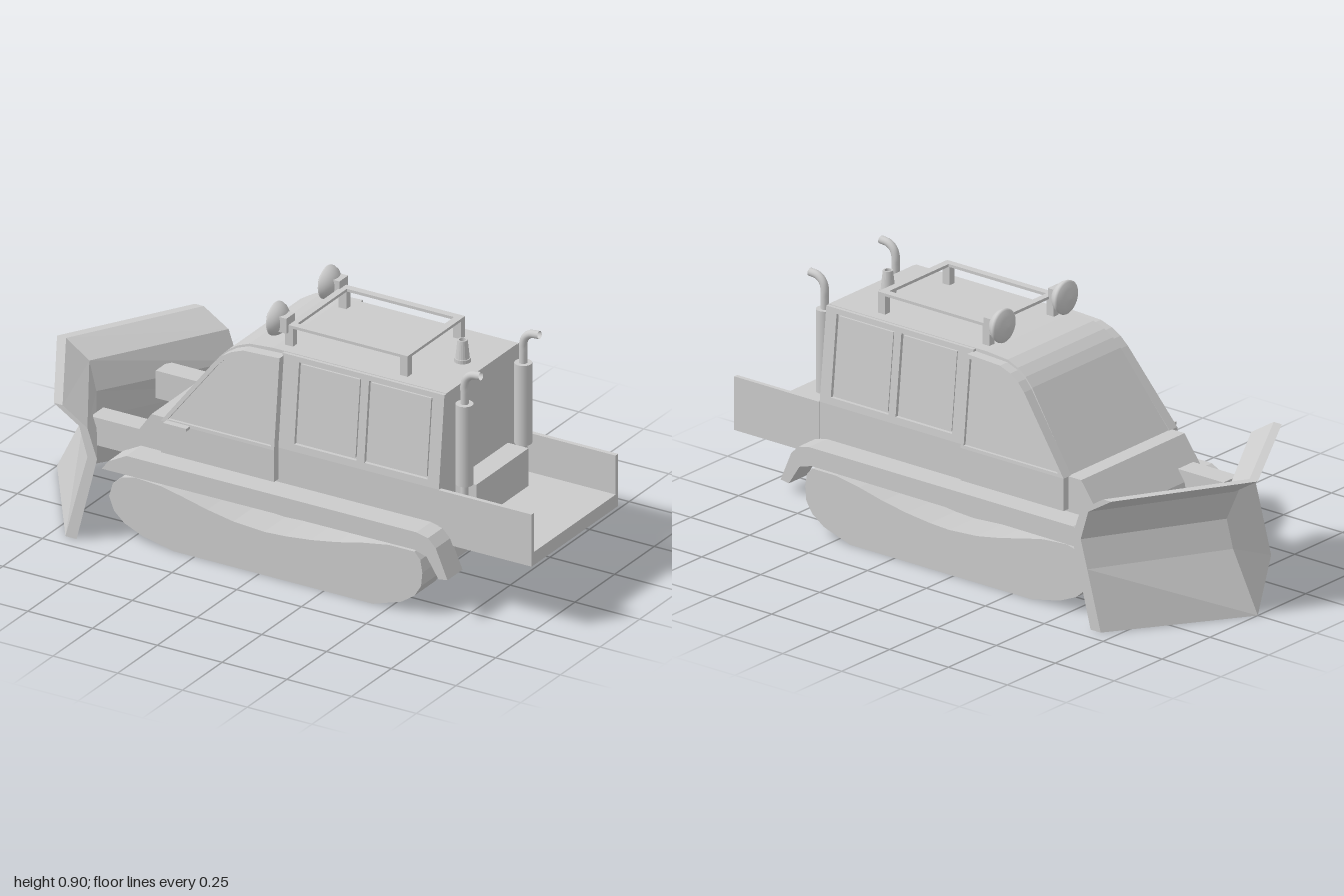
import * as THREE from 'three';

const mat = new THREE.MeshStandardMaterial({ color: 0xcccccc, flatShading: true });
const smooth = new THREE.MeshStandardMaterial({ color: 0xcccccc, side: THREE.DoubleSide });

// Half width of the cab at height y
const sideZ = (y) => 0.27 - Math.max(0, y - 0.43) * 0.106;

const toShape = (pts) => new THREE.Shape(pts.map(([x, y]) => new THREE.Vector2(x, y)));

export function createModel() {
  const root = new THREE.Group();

  const add = (name, geo, x = 0, y = 0, z = 0, m = mat) => {
    const mesh = new THREE.Mesh(geo, m);
    mesh.name = name;
    mesh.position.set(x, y, z);
    root.add(mesh);
    return mesh;
  };

  // Box given by its limits
  const box = (name, x0, x1, y0, y1, z0, z1) =>
    add(name, new THREE.BoxGeometry(x1 - x0, y1 - y0, Math.abs(z1 - z0)),
      (x0 + x1) / 2, (y0 + y1) / 2, (z0 + z1) / 2);

  // Side profile extruded from z0 to z1
  const slab = (name, pts, z0, z1) =>
    add(name, new THREE.ExtrudeGeometry(toShape(pts), { depth: z1 - z0, bevelEnabled: false }), 0, 0, z0);

  // Panel that follows the sloping cab side; s picks the side
  const panel = (name, s, pts, holes, off, depth) => {
    const shape = toShape(pts);
    for (const h of holes) shape.holes.push(toShape(h));
    const geo = new THREE.ExtrudeGeometry(shape, { depth, bevelEnabled: false });
    const p = geo.attributes.position;
    for (let i = 0; i < p.count; i++) {
      const base = sideZ(p.getY(i)) + off;
      p.setZ(i, s > 0 ? base + p.getZ(i) : p.getZ(i) - depth - base);
    }
    geo.computeVertexNormals();
    return add(name, geo);
  };

  const rect = (x0, x1, y0, y1) => [[x0, y0], [x1, y0], [x1, y1], [x0, y1]];

  // Hull and belly
  slab('hull', [[-0.57, 0.24], [0.64, 0.24], [0.64, 0.43], [-0.47, 0.43], [-0.555, 0.31]], -0.27, 0.27);
  box('belly', -0.485, 0.62, 0.116, 0.24, -0.225, 0.225);

  // Cab core, narrowing towards the roof
  const cabPts = [[-0.417, 0.425], [0.64, 0.425], [0.64, 0.762], [-0.03, 0.762], [-0.12, 0.755],
    [-0.165, 0.738], [-0.2, 0.715], [-0.23, 0.685]];
  const cab = slab('cab', cabPts, -1, 1);
  cab.position.z = 0;
  const cp = cab.geometry.attributes.position;
  for (let i = 0; i < cp.count; i++) {
    cp.setZ(i, (cp.getZ(i) > 0.5 ? -1 : 1) * -(sideZ(cp.getY(i)) - 0.012));
  }
  // The extrusion runs from 0 to 2, so both ends are set explicitly above
  cab.geometry.computeVertexNormals();

  // Rear bed
  box('bedFloor', 0.64, 1, 0.24, 0.288, -0.27, 0.27);
  box('bedStep', 0.64, 0.72, 0.288, 0.425, -0.165, 0.165);

  // Outlines used on both sides
  const fender = [[-0.605, 0.235], [0.6, 0.24], [0.65, 0.225], [0.695, 0.155], [0.73, 0.16],
    [0.685, 0.265], [0.655, 0.295], [0.61, 0.305], [-0.51, 0.305], [-0.58, 0.268]];
  const track = [[-0.33, 0], [0.44, 0], [0.55, 0.035], [0.6, 0.07], [0.625, 0.11], [0.63, 0.16],
    [0.622, 0.205], [0.6, 0.23], [0.5, 0.23], [0.4, 0.213], [0.3, 0.19], [0.2, 0.173], [0.1, 0.162],
    [0.02, 0.158], [-0.1, 0.166], [-0.2, 0.184], [-0.3, 0.208], [-0.38, 0.225], [-0.48, 0.232],
    [-0.53, 0.22], [-0.565, 0.19], [-0.58, 0.14], [-0.56, 0.09], [-0.52, 0.055], [-0.45, 0.025]];
  const doorTop = [[-0.417, 0.43], [0.02, 0.43], [0.02, 0.752], [-0.12, 0.746], [-0.165, 0.73],
    [-0.2, 0.708], [-0.228, 0.68]];
  const doorGlass = [[-0.392, 0.441], [0.008, 0.441], [0.008, 0.738], [-0.118, 0.732], [-0.157, 0.718],
    [-0.19, 0.697], [-0.216, 0.67]];

  for (const s of [1, -1]) {
    // Running gear and mudguards
    slab('track', track, s > 0 ? 0.225 : -0.358, s > 0 ? 0.358 : -0.225);
    slab('fender', fender, s > 0 ? 0.268 : -0.363, s > 0 ? 0.363 : -0.268);
    box('bedSide', 0.64, 1, 0.24, 0.43, s * 0.257, s * 0.273);

    // Cab side wall with two recessed windows
    panel('cabSide', s, rect(0.015, 0.64, 0.43, 0.76),
      [rect(0.08, 0.32, 0.455, 0.742), rect(0.35, 0.595, 0.455, 0.742)], -0.013, 0.013);
    for (const [x0, x1] of [[0.08, 0.32], [0.35, 0.595]]) {
      panel('sideWindow', s, rect(x0 + 0.007, x1 - 0.007, 0.462, 0.735), [], -0.013, 0.008);
    }

    // Door
    panel('doorFrame', s, doorTop, [doorGlass], -0.013, 0.04);
    panel('doorGlass', s, doorGlass, [], -0.013, 0.03);
    panel('doorLower', s, rect(-0.417, 0.02, 0.315, 0.43), [], -0.005, 0.032);

    // Push arm to the blade
    slab('pushArm', [[-0.72, 0.25], [-0.5, 0.25], [-0.5, 0.35], [-0.72, 0.35]],
      s > 0 ? 0.165 : -0.245, s > 0 ? 0.245 : -0.165);

    // Exhaust: stub, muffler and bent outlet
    const ez = s * 0.185, ex = 0.687;
    add('exhaustStub', new THREE.CylinderGeometry(0.014, 0.014, 0.15, 16), ex, 0.36, ez, smooth);
    add('muffler', new THREE.CylinderGeometry(0.03, 0.03, 0.292, 24), ex, 0.576, ez, smooth);
    const bend = new THREE.CatmullRomCurve3([[ex, 0.71], [ex, 0.76], [ex, 0.79], [0.695, 0.815],
      [0.715, 0.832], [0.75, 0.837]].map(([x, y]) => new THREE.Vector3(x, y, ez)));
    add('exhaustPipe', new THREE.TubeGeometry(bend, 20, 0.014, 14), 0, 0, 0, smooth);

    // Work lamp: slightly domed lens in front, bowl behind
    const lamp = new THREE.LatheGeometry([[0, -0.019], [0.035, -0.014], [0.054, -0.003], [0.059, 0],
      [0.059, 0.006], [0.053, 0.02], [0.04, 0.034], [0.022, 0.044], [0, 0.047]]
      .map(([r, h]) => new THREE.Vector2(r, h)), 28);
    add('workLamp', lamp, -0.057, 0.84, s * 0.163, smooth).rotation.z = -Math.PI / 2;
    box('lampBracket', -0.025, 0.005, 0.81, 0.865, s * 0.14, s * 0.195);

    // Roof rack side
    box('rackRail', 0, 0.465, 0.827, 0.837, s * 0.155, s * 0.181);
    box('rackPost', -0.008, 0.022, 0.745, 0.837, s * 0.155, s * 0.181);
    box('rackPost', 0.435, 0.465, 0.745, 0.837, s * 0.155, s * 0.181);
  }
  box('rackCrossbar', 0, 0.024, 0.827, 0.837, -0.181, 0.181);
  box('rackCrossbar', 0.438, 0.465, 0.827, 0.837, -0.181, 0.181);

  // Door handle on the left side only
  box('doorHandle', -0.395, -0.305, 0.427, 0.437, 0.295, 0.32);

  // Roof vent, open at the top
  add('roofVent', new THREE.LatheGeometry([[0.028, 0], [0.028, 0.015], [0.024, 0.015], [0.017, 0.08],
    [0.012, 0.08], [0.012, 0.05], [0, 0.05]].map(([r, h]) => new THREE.Vector2(r, h)), 20),
  0.555, 0.76, -0.018, new THREE.MeshStandardMaterial({ color: 0xcccccc, flatShading: true, side: THREE.DoubleSide }));

  // V blade: curved section swept from one wing over the nose to the other
  const ys = [0.475, 0.415, 0.31, 0.21, 0];
  const wing = { front: [-0.74, -0.642, -0.61, -0.638, -0.695], back: [-0.706, -0.61, -0.573, -0.598, -0.652] };
  const nose = { front: [-1, -0.903, -0.868, -0.895, -1], back: [-0.965, -0.875, -0.848, -0.86, -0.955] };
  const ring = (p, z) => [...p.front.map((x, i) => [x, ys[i], z]),
    ...p.back.map((x, i) => [x, ys[i], z]).reverse()];
  const rings = [ring(wing, -0.445), ring(nose, 0), ring(wing, 0.445)];
  const verts = [];
  const quad = (a, b, c, d) => verts.push(...a, ...b, ...c, ...a, ...c, ...d);
  for (let k = 0; k < 2; k++) {
    for (let i = 0; i < 10; i++) {
      const j = (i + 1) % 10;
      quad(rings[k][i], rings[k][j], rings[k + 1][j], rings[k + 1][i]);
    }
  }
  for (let i = 0; i < 4; i++) {
    const [r, , t] = rings;
    quad(t[i], t[i + 1], t[8 - i], t[9 - i]);
    quad(r[9 - i], r[8 - i], r[i + 1], r[i]);
  }
  const blade = new THREE.BufferGeometry();
  blade.setAttribute('position', new THREE.Float32BufferAttribute(verts, 3));
  blade.computeVertexNormals();
  add('blade', blade);

  return root;
}
